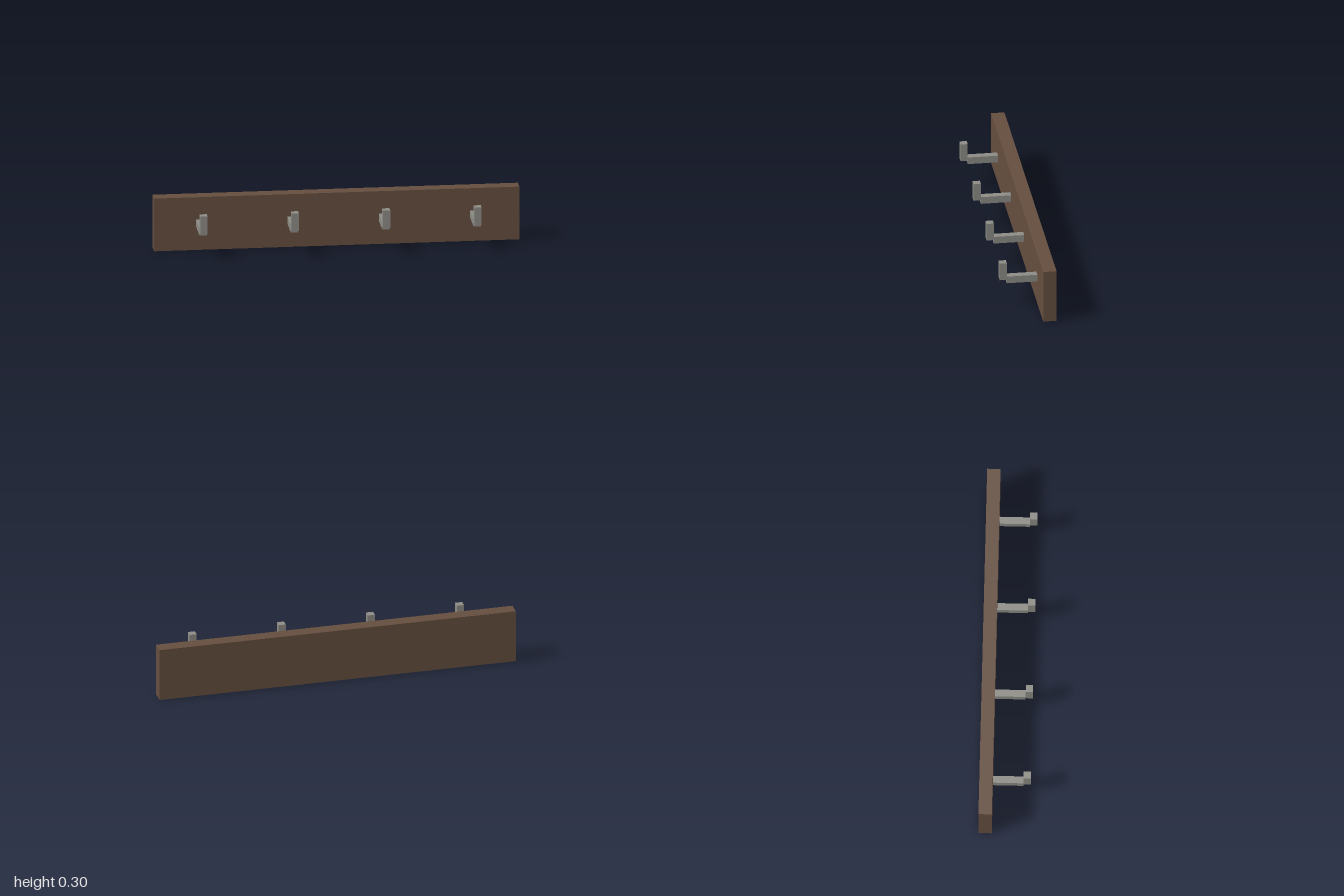
import * as THREE from 'three';

const wood = new THREE.MeshStandardMaterial({ color: 0x654e3f });
const metal = new THREE.MeshStandardMaterial({ color: 0x8c8b85 });

// Box given by its centre x, width, and y and z ranges
function box(name, material, x, width, [y0, y1], [z0, z1]) {
  const mesh = new THREE.Mesh(new THREE.BoxGeometry(width, y1 - y0, z1 - z0), material);
  mesh.position.set(x, (y0 + y1) / 2, (z0 + z1) / 2);
  mesh.name = name;
  return mesh;
}

export function createModel() {
  const model = new THREE.Group();
  model.name = 'coatRack';

  // Backing board
  model.add(box('board', wood, 0, 2, [0, 0.3], [-0.14, -0.067]));

  // Four hooks: a horizontal arm with an upright tip on its front end
  for (let i = 0; i < 4; i++) {
    const hook = new THREE.Group();
    hook.name = `hook${i + 1}`;
    hook.position.x = -0.75 + i * 0.5;
    hook.add(box('hookArm', metal, 0, 0.04, [0.133, 0.173], [-0.067, 0.1]));
    hook.add(box('hookTip', metal, 0, 0.04, [0.154, 0.254], [0.1, 0.14]));
    model.add(hook);
  }
  return model;
}
